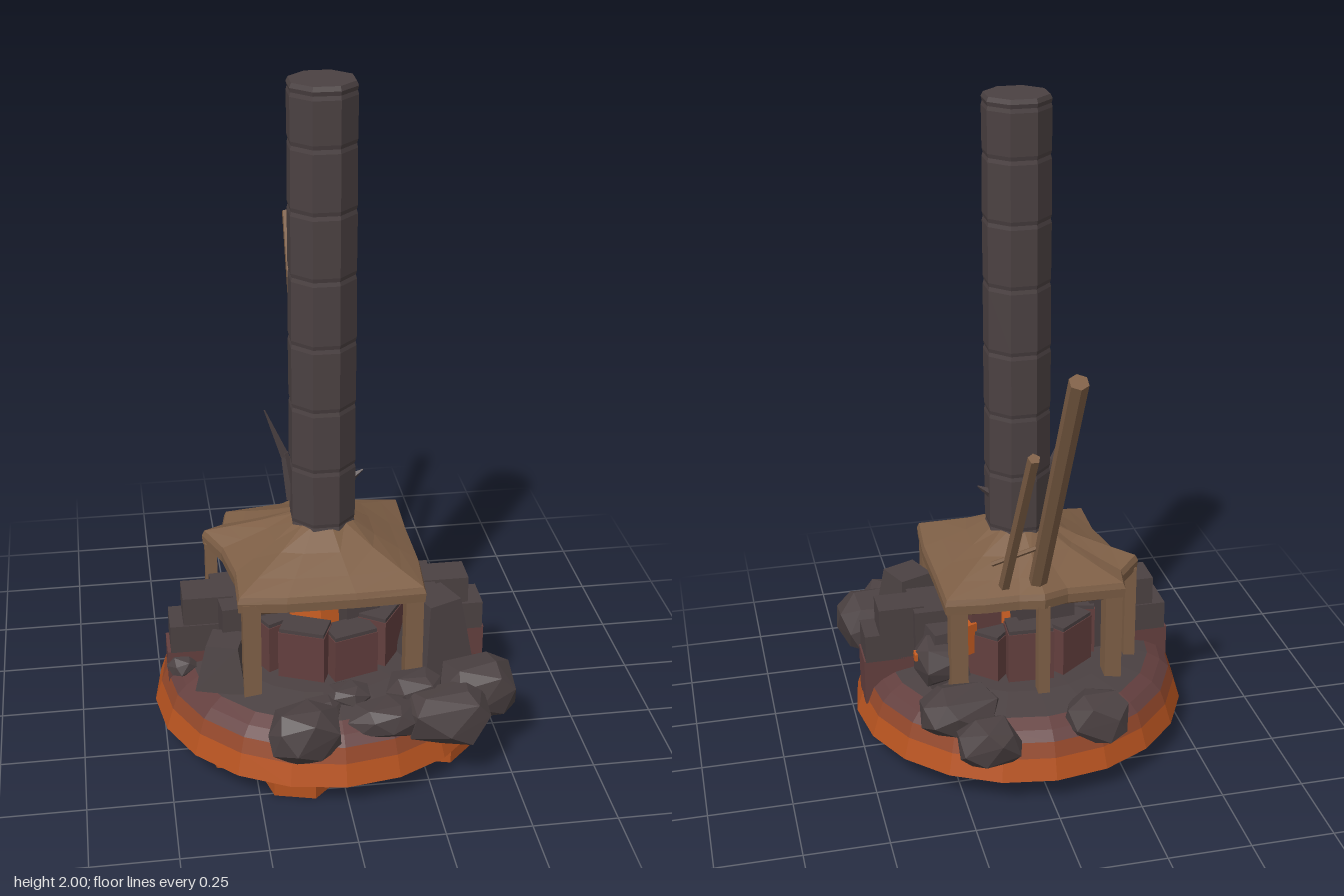
import * as THREE from 'three';
import { ConvexGeometry } from 'three/addons/geometries/ConvexGeometry.js';

const CX = -0.01, CZ = 0.09; // axis of the mound and chimney

export function createModel() {
  const model = new THREE.Group();
  model.name = 'furnaceHut';
  const mat = (name, color, side = THREE.FrontSide) =>
    Object.assign(new THREE.MeshStandardMaterial({ color, flatShading: true, side }), { name });
  const orange = mat('hotOrange', 0xb5521f, THREE.DoubleSide);
  const rust = mat('coolingRust', 0x92472a);
  const maroon = mat('warmMaroon', 0x633f3e);
  const stone = mat('darkStone', 0x4b4142);
  const wood = mat('wood', 0x7e5f46, THREE.DoubleSide);
  const ember = mat('ember', 0xc25a20);

  let seed = 11;
  const rand = () => (seed = (seed * 16807) % 2147483647) / 2147483647;
  const add = (name, geo, material, x = 0, y = 0, z = 0, ry = 0, rz = 0) => {
    const m = new THREE.Mesh(geo, material);
    m.name = name;
    m.position.set(x, y, z);
    m.rotation.set(0, ry, rz);
    model.add(m);
    return m;
  };
  const block = (name, material, x, y, z, w, h, d, ry = 0) =>
    add(name, new THREE.BoxGeometry(w, h, d), material, x, y, z, ry);
  const stick = (name, a, b, r, sides = 6, r2 = r, material = wood) => {
    const p = new THREE.Vector3(...a), q = new THREE.Vector3(...b);
    const dir = q.clone().sub(p);
    const m = add(name, new THREE.CylinderGeometry(r2, r, dir.length(), sides), material);
    m.position.copy(p).add(q).multiplyScalar(0.5);
    m.quaternion.setFromUnitVectors(new THREE.Vector3(0, 1, 0), dir.normalize());
  };
  // blocky boulder: hull of jittered points on a squared-off ellipsoid
  const square = c => Math.sign(c) * Math.pow(Math.abs(c), 0.75);
  const rock = (name, x, y, z, rx, ry, rz) => {
    const pts = [];
    const n = 20;
    for (let i = 0; i < n; i++) {
      const h = 1 - (2 * (i + 0.5)) / n;
      const a = i * 2.4 + rand() * 0.6;
      const s = Math.sqrt(1 - h * h);
      const k = 0.93 + rand() * 0.14;
      pts.push(new THREE.Vector3(square(Math.cos(a) * s) * rx * k, square(h) * ry * k, square(Math.sin(a) * s) * rz * k));
    }
    add(name, new ConvexGeometry(pts), stone, x, y, z);
  };
  const lathe = (name, pts, material, sides = 20) =>
    add(name, new THREE.LatheGeometry(pts.map(p => new THREE.Vector2(...p)), sides), material, CX, 0, CZ);

  // mound: glowing rim, cooling bands and a stone top
  lathe('moundRim', [[0.02, 0.17], [0.44, 0.16], [0.47, 0.08], [0.516, 0.08], [0.495, 0.145]], orange);
  lathe('moundRustBand', [[0.495, 0.145], [0.478, 0.19]], rust);
  lathe('moundMaroonBand', [[0.478, 0.19], [0.45, 0.215], [0.41, 0.236]], maroon);
  lathe('moundTop', [[0.41, 0.236], [0.3, 0.258], [0, 0.265]], stone);

  // diagonal honeycomb of hexagonal columns underneath
  const R = 0.126, W = R * Math.sqrt(3);
  [[0.5, 1.5], [0, 1, 2], [-0.5, 0.5, 1.5], [0, 1]].forEach((row, j) => {
    row.forEach(col => {
      const u = col * W - 0.005, v = -0.18 + j * 1.5 * R;
      const g = new THREE.CylinderGeometry(R * 0.96, R * 0.96, 0.13, 6).rotateY(-Math.PI / 4);
      add('basaltColumn', g, orange, (u - v) * Math.SQRT1_2, 0.065, (u + v) * Math.SQRT1_2);
    });
  });

  // furnace ring: maroon wall blocks with thin stone caps around an ember core
  for (let i = 0; i < 9; i++) {
    const a = (i / 9) * Math.PI * 2 + 0.3;
    const r = 0.195, h = 0.155 + rand() * 0.03;
    const x = CX + Math.sin(a) * r, z = CZ + Math.cos(a) * r;
    block('furnaceWall', maroon, x, 0.24 + h / 2, z, 0.14, h, 0.09, a);
    block('furnaceCap', stone, x, 0.245 + h, z, 0.135, 0.014, 0.085, a);
  }
  add('emberCore', new THREE.CylinderGeometry(0.11, 0.14, 0.23, 8), ember, CX - 0.02, 0.36, CZ);
  block('coreStone', stone, 0.08, 0.415, 0.17, 0.11, 0.13, 0.11, 0.3);
  block('coreStone', stone, -0.16, 0.415, 0.12, 0.1, 0.12, 0.13, -0.2);
  block('coreStone', stone, -0.06, 0.415, -0.03, 0.18, 0.12, 0.09, 0.1);
  block('coreMaroonStone', maroon, 0.13, 0.415, -0.01, 0.1, 0.12, 0.1, 0.2);
  block('emberGap', ember, 0.185, 0.385, -0.06, 0.05, 0.1, 0.05, 0.4);

  // stacked side blocks on maroon buttresses
  block('leftLowerBlock', stone, -0.38, 0.325, 0.09, 0.19, 0.09, 0.12);
  block('leftUpperBlock', stone, -0.36, 0.415, 0.09, 0.15, 0.09, 0.11);
  block('leftInnerBlock', stone, -0.27, 0.36, 0.1, 0.13, 0.19, 0.22, 0.1);
  block('leftButtress', maroon, -0.4, 0.21, 0.09, 0.17, 0.14, 0.11);
  block('rightLowerBlock', stone, 0.385, 0.325, 0.085, 0.19, 0.09, 0.11);
  block('rightUpperBlock', stone, 0.365, 0.41, 0.08, 0.14, 0.09, 0.1);
  block('rightInnerBlock', stone, 0.27, 0.36, 0.08, 0.12, 0.18, 0.16);
  block('rightButtress', maroon, 0.4, 0.21, 0.085, 0.17, 0.15, 0.11);
  const slab = (name, x, z, w, h, d, ry) =>
    add(name, new THREE.CylinderGeometry(0.45, 0.72, 1, 4).rotateY(Math.PI / 4).scale(w, h, d), stone, x, 0.24 + h / 2, z, ry);
  slab('frontRightSlab', 0.31, 0.24, 0.17, 0.23, 0.17, 0.4);
  slab('frontLeftSlab', -0.32, 0.25, 0.15, 0.14, 0.15, -0.3);
  slab('backRightSlab', 0.25, -0.03, 0.13, 0.17, 0.13, 0.2);

  // boulders around the mound: position, then radii
  [
    [-0.16, 0.22, -0.325, 0.105, 0.075, 0.09],
    [0.185, 0.215, -0.385, 0.095, 0.075, 0.075],
    [0.24, 0.235, -0.23, 0.12, 0.075, 0.09],
    [0.412, 0.235, 0.38, 0.12, 0.092, 0.1],
    [0.305, 0.22, 0.485, 0.13, 0.085, 0.095],
    [-0.12, 0.22, 0.52, 0.112, 0.085, 0.085],
    [0.12, 0.225, 0.49, 0.11, 0.055, 0.07],
    [0.22, 0.25, 0.4, 0.085, 0.06, 0.07],
    [0.27, 0.32, -0.06, 0.08, 0.075, 0.08],
    [0.02, 0.25, 0.4, 0.07, 0.035, 0.05],
    [-0.44, 0.23, 0.12, 0.05, 0.035, 0.07],
    [-0.06, 0.23, 0.44, 0.06, 0.04, 0.05],
  ].forEach(r => rock('boulder', ...r));
  add('emberSpot', new THREE.CylinderGeometry(0.018, 0.018, 0.009, 5), ember, 0.342, 0.345, -0.07, 0, -Math.PI / 2);

  // chimney: octagonal sections with pinched seams and a closed top
  const seams = [0.48, 0.69, 0.87, 1.06, 1.255, 1.455, 1.645, 1.83, 1.975];
  const profile = [];
  seams.forEach((y, i) => {
    const r = 0.101 - (i % 2) * 0.001;
    if (i > 0) profile.push([r, y - 0.012]);
    profile.push([r - 0.003, y], [r, y + 0.012]);
  });
  profile.push([0.095, 2], [0, 2]);
  const chimney = lathe('chimney', profile, stone, 8);
  chimney.rotation.y = Math.PI / 8;
  // hooked thorns on the chimney
  stick('thornBase', [-0.095, 0.74, 0.075], [-0.118, 0.89, 0.07], 0.02, 5, 0.012, stone);
  stick('thornTip', [-0.117, 0.88, 0.07], [-0.175, 1.03, 0.07], 0.013, 5, 0.002, stone);
  stick('smallThorn', [0.07, 0.79, 0.075], [0.115, 0.82, 0.075], 0.017, 4, 0.002, stone);

  // roof: sagging sheet lofted from chimney to eave, with pushed-out bumps
  const eave = [ // x, z, lift
    [0.255, 0.365, 0], [0.268, 0.2, 0], [0.265, 0.0, 0], [0.268, -0.175, 0.005],
    [0.15, -0.19, 0.005], [0.05, -0.2, 0.01], [-0.02, -0.23, 0.02], [-0.1, -0.19, 0.01],
    [-0.28, -0.18, 0], [-0.295, -0.1, 0], [-0.36, -0.04, 0.015], [-0.31, 0.05, 0],
    [-0.285, 0.2, 0], [-0.29, 0.35, 0], [-0.15, 0.367, 0], [0.05, 0.37, 0],
  ];
  const loop = (t, drop) => eave.map(([x, z, l]) => {
    const dx = x - CX, dz = z - CZ, d = Math.hypot(dx, dz);
    const k = 0.085 / d + (1 - 0.085 / d) * t;
    return [CX + dx * k, 0.69 - 0.12 * Math.pow(t, 0.85) + l * t - drop, CZ + dz * k];
  });
  const loops = [loop(0, 0), loop(0.35, 0), loop(0.7, 0), loop(0.97, 0), loop(1, 0.015), loop(0.99, 0.045),
    loop(0.93, 0.045), loop(0.5, 0.03), loop(0, 0.03)];
  const pos = [], idx = [], n = eave.length;
  loops.forEach(l => l.forEach(p => pos.push(...p)));
  for (let j = 0; j < loops.length - 1; j++) {
    for (let i = 0; i < n; i++) {
      const a = j * n + i, b = j * n + (i + 1) % n;
      idx.push(a, a + n, b, b, a + n, b + n);
    }
  }
  const roof = new THREE.BufferGeometry();
  roof.setAttribute('position', new THREE.Float32BufferAttribute(pos, 3));
  roof.setIndex(idx);
  roof.computeVertexNormals();
  add('roof', roof, wood);

  // posts and the frame under the roof
  const corners = [[0.225, 0.33], [0.225, -0.14], [-0.25, -0.14], [-0.25, 0.33]];
  [...corners, [-0.335, -0.035], [-0.02, -0.205]].forEach(([x, z], i) => {
    const w = i < 4 ? 0.052 : 0.036;
    block('post', wood, x, 0.39, z, w, 0.32, w);
  });
  corners.forEach(([x, z], i) => {
    const [x2, z2] = corners[(i + 1) % 4];
    stick('eaveBeam', [x, 0.525, z], [x2, 0.525, z2], 0.02, 4);
    stick('rafter', [x, 0.53, z], [CX + (x - CX) * 0.3, 0.63, CZ + (z - CZ) * 0.3], 0.016, 4);
  });

  // leaning poles at the back, tied by a thin stick
  stick('largePole', [-0.014, 0.59, -0.155], [-0.014, 1.405, -0.59], 0.028);
  stick('smallPole', [0.085, 0.59, -0.15], [0.07, 1.14, -0.455], 0.018, 5);
  stick('crossStick', [-0.04, 0.78, -0.255], [0.125, 0.68, -0.165], 0.008, 5);
  return model;
}
